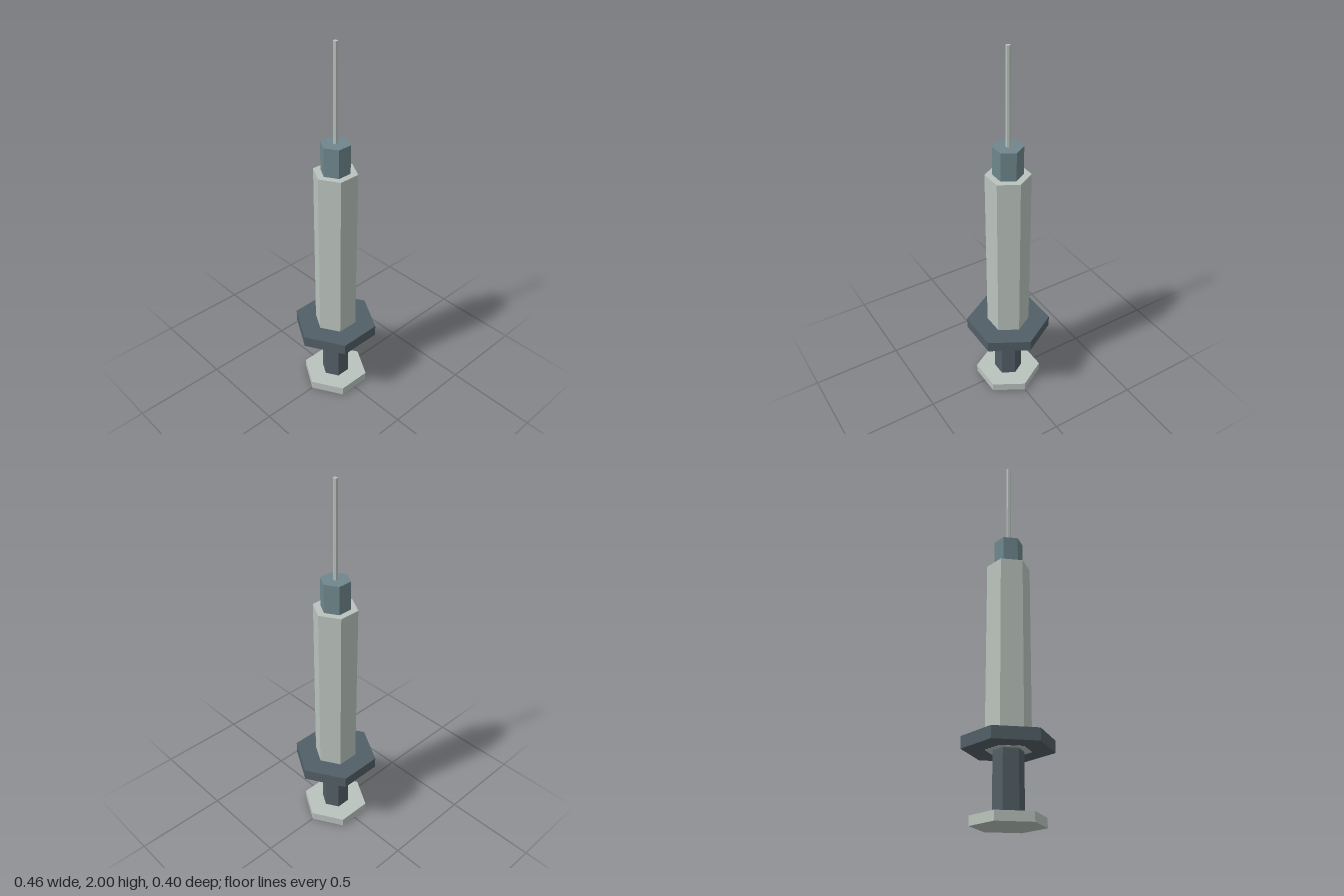
import * as THREE from 'three';

const paleGrey = new THREE.MeshStandardMaterial({ name: 'paleGrey', color: 0xbac3bd, flatShading: true });
const darkSlate = new THREE.MeshStandardMaterial({ name: 'darkSlate', color: 0x525f66, flatShading: true });
const blueGrey = new THREE.MeshStandardMaterial({ name: 'blueGrey', color: 0x6f878d, flatShading: true });

// Upright hexagonal prism with corners on the x axis
function hexPrism(name, radius, bottom, top, material) {
  const geometry = new THREE.CylinderGeometry(radius, radius, top - bottom, 6, 1, false, Math.PI / 6);
  const mesh = new THREE.Mesh(geometry, material);
  mesh.name = name;
  mesh.position.y = (bottom + top) / 2;
  return mesh;
}

export function createModel() {
  const group = new THREE.Group();
  group.name = 'syringe';
  group.add(
    hexPrism('thumbRest', 0.183, 0, 0.047, paleGrey),
    hexPrism('plungerRod', 0.077, 0.047, 0.36, darkSlate),
    hexPrism('fingerFlange', 0.23, 0.354, 0.416, darkSlate),
    // The barrel passes through the flange and shows on its underside
    hexPrism('barrel', 0.115, 0.353, 1.35, paleGrey),
    hexPrism('needleHub', 0.077, 1.35, 1.503, blueGrey),
    hexPrism('needle', 0.012, 1.503, 2, paleGrey),
  );
  return group;
}
